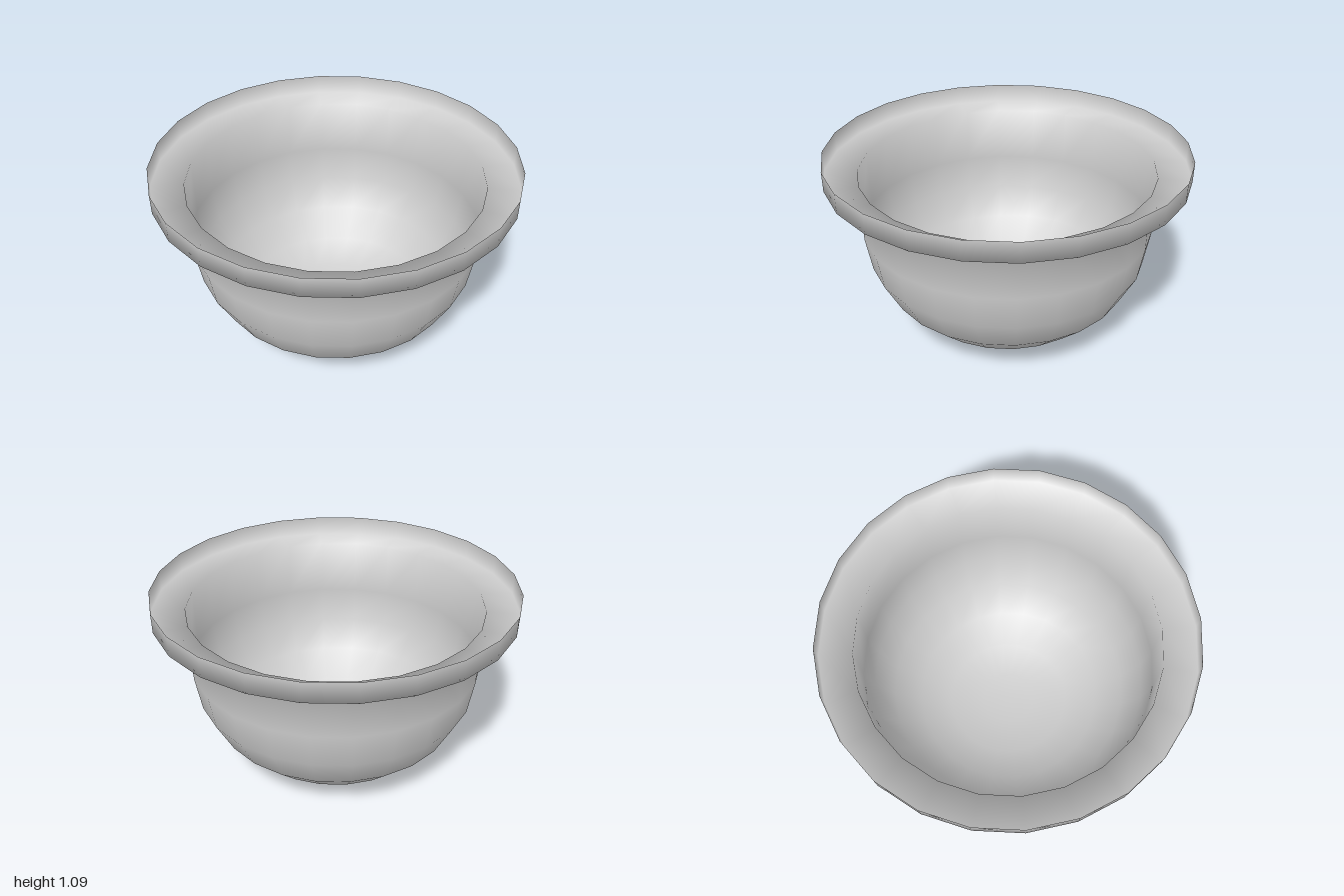
import * as THREE from 'three';

const SIDES = 24;

// One thin sheet: base, rounded body, straight wall, flat brim, upright lip
const PROFILE = [
  [0, 0], [0.155, 0], [0.365, 0.037], [0.547, 0.128], [0.695, 0.273],
  [0.788, 0.456], [0.82, 0.655], [0.82, 0.977], [1, 0.977], [1, 1.088],
];

export function createModel() {
  const grey = new THREE.MeshStandardMaterial({ color: 0xcccccc, side: THREE.DoubleSide });
  grey.name = 'plain grey';

  const points = PROFILE.map(([r, y]) => new THREE.Vector2(r, y));
  const geometry = new THREE.LatheGeometry(points, SIDES);
  geometry.normalizeNormals();

  const bowl = new THREE.Mesh(geometry, grey);
  bowl.name = 'bowlWithBrim';

  const model = new THREE.Group();
  model.name = 'bowl';
  model.add(bowl);
  return model;
}
